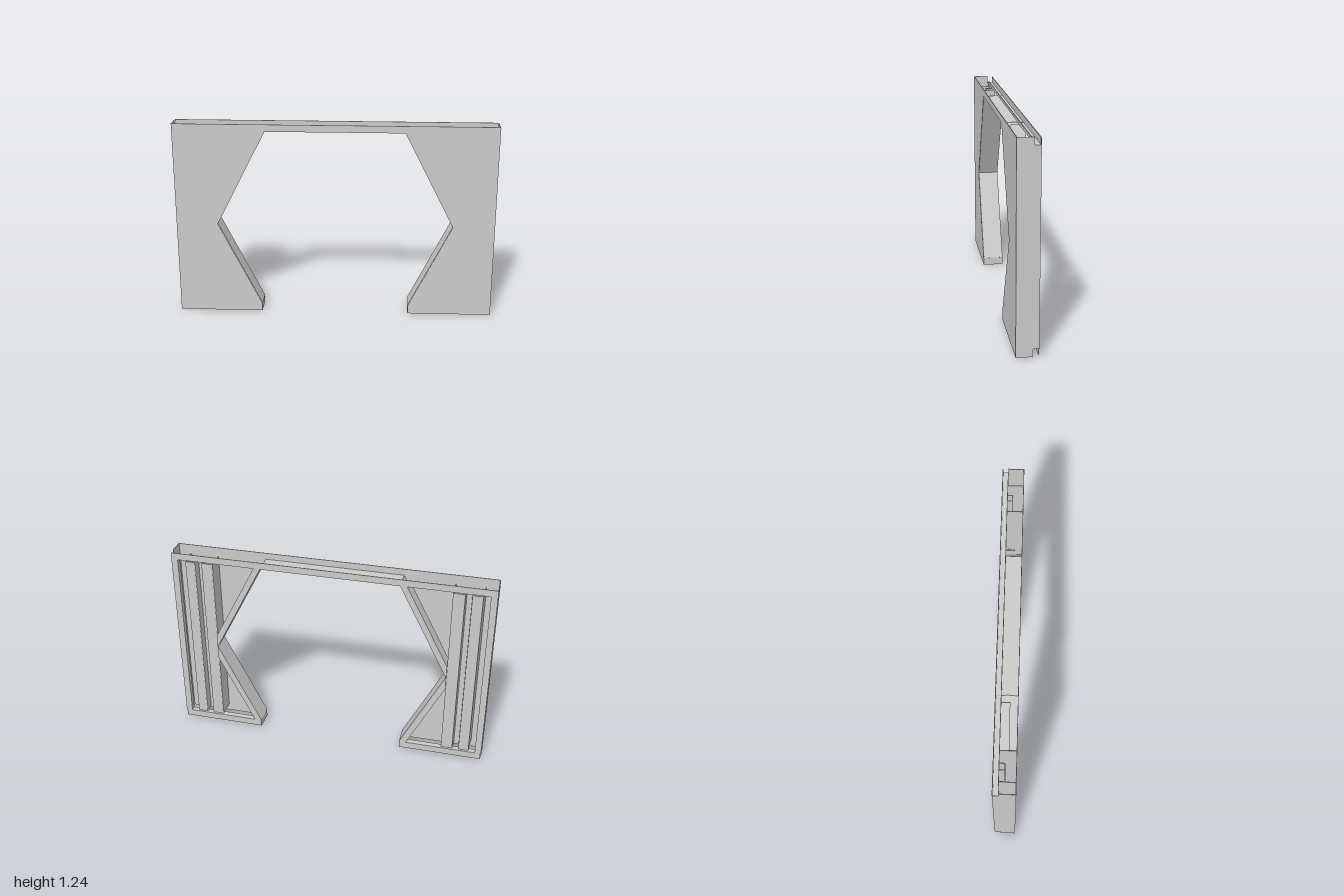
import * as THREE from 'three';

const T = 0.004; // sheet thickness
const FRONT = 0.066, BACK = -0.066, STEP = -0.03, TOP = 1.24, WEB = 1.197;

export function createModel() {
  const root = new THREE.Group();
  const mat = new THREE.MeshStandardMaterial({ color: 0xcccccc, flatShading: true, side: THREE.DoubleSide });

  const add = (name, geo, parent = root) => {
    const mesh = new THREE.Mesh(geo, mat);
    mesh.name = name;
    parent.add(mesh);
    return mesh;
  };

  // axis-aligned sheet given by its limits
  const slab = (name, x0, x1, y0, y1, z0, z1, parent) => {
    const g = new THREE.BoxGeometry(Math.abs(x1 - x0), y1 - y0, z1 - z0);
    add(name, g.translate((x0 + x1) / 2, (y0 + y1) / 2, (z0 + z1) / 2), parent);
  };

  // sheet standing on the line a-b in the xy plane, running from z0 to z1
  const wall = (name, a, b, z0, z1, parent) => {
    const dx = b[0] - a[0], dy = b[1] - a[1];
    const g = new THREE.BoxGeometry(Math.hypot(dx, dy), T, z1 - z0);
    g.rotateZ(Math.atan2(dy, dx));
    add(name, g.translate((a[0] + b[0]) / 2, (a[1] + b[1]) / 2, (z0 + z1) / 2), parent);
  };

  // flat outline in the xy plane with its lower face at z
  const plate = (name, pts, z, parent) => {
    const shape = new THREE.Shape(pts.map(p => new THREE.Vector2(...p)));
    const g = new THREE.ExtrudeGeometry(shape, { depth: T, bevelEnabled: false });
    add(name, g.translate(0, 0, z), parent);
  };

  // front skin with the angular opening
  const half = [[0.43, WEB], [0.74, 0.595], [0.47, 0.05], [0.47, 0], [1, 0], [1, TOP]];
  plate('frontPanel', [...half, ...half.map(([x, y]) => [-x, y]).reverse()], FRONT - T);

  // header: opening soffit and rear U channel
  slab('openingSoffit', -0.43, 0.43, WEB - T / 2, WEB + T / 2, STEP, FRONT - T);
  slab('headerChannelFloor', -1, 1, 1.193, 1.197, BACK, STEP);
  slab('headerChannelBack', -1, 1, 1.193, 1.236, BACK, BACK + T);
  slab('headerChannelLip', -0.94, 0.94, 1.193, 1.215, STEP - T, STEP);

  for (const s of [1, -1]) {
    const side = new THREE.Group();
    side.name = s > 0 ? 'leftLeg' : 'rightLeg';
    root.add(side);
    const m = pts => pts.map(([x, y]) => [x * s, y]);

    // outer side wall, notched behind at head and foot, with a return flange
    slab('sideWall', s, s * (1 - T), 0, TOP, STEP, FRONT - T, side);
    slab('sideWallRear', s, s * (1 - T), 0.05, 1.195, BACK, STEP, side);
    slab('sideFlange', s, s * 0.96, 0.05, 1.195, BACK, BACK + T, side);
    slab('sideLip', s * 0.96, s * (0.96 + T), 0.05, 1.195, BACK, STEP, side);

    // sloping jambs of the opening, folded into C channels
    const [a, b, c, d] = m(half);
    wall('upperJamb', a, b, BACK, FRONT - T, side);
    wall('lowerJamb', b, c, BACK, FRONT - T, side);
    const up = m([[0.43, 1.193], [0.47, 1.193], [0.74, 0.672], [0.74, 0.595]]);
    const low = m([[0.74, 0.595], [0.74, 0.514], [0.51, 0.05], [0.47, 0.05]]);
    plate('upperJambFlange', up, BACK, side);
    plate('lowerJambFlange', low, BACK, side);
    wall('upperJambLip', up[1], up[2], BACK, 0.02, side);
    wall('lowerJambLip', low[1], low[2], BACK, 0.02, side);

    // foot: toe plate with a rounded rear corner, and rear channel
    const toe = new THREE.Shape();
    toe.moveTo(-FRONT + T, 0);
    toe.lineTo(0.056, 0);
    toe.quadraticCurveTo(-BACK, 0, -BACK, 0.01);
    toe.lineTo(-BACK, 0.05);
    toe.lineTo(-FRONT + T, 0.05);
    const toeGeo = new THREE.ExtrudeGeometry(toe, { depth: T, bevelEnabled: false, curveSegments: 5 });
    toeGeo.rotateY(Math.PI / 2);
    add('toePlate', toeGeo.translate(s * 0.472 - T / 2, 0, 0), side);
    slab('footChannelTop', s * 0.47, s * 0.996, 0.046, 0.05, BACK, STEP, side);
    slab('footChannelBack', s * 0.47, s * 0.996, 0.006, 0.05, BACK, BACK + T, side);
    slab('footChannelLip', s * 0.51, s * 0.96, 0.028, 0.05, STEP - T, STEP, side);

    // vertical corrugated stiffener: folded profile in x, z
    const fold = [[0.742, 0.062], [0.742, -0.05], [0.81, -0.05], [0.815, 0], [0.85, 0],
      [0.855, -0.05], [0.915, -0.05], [0.92, 0.062]];
    for (let i = 0; i + 1 < fold.length; i++) {
      const [x0, z0] = fold[i], [x1, z1] = fold[i + 1];
      const dx = s * (x1 - x0), dz = z1 - z0;
      const g = new THREE.BoxGeometry(Math.hypot(dx, dz), 1.13, T);
      g.rotateY(-Math.atan2(dz, dx));
      add('stiffenerFold', g.translate(s * (x0 + x1) / 2, 0.615, (z0 + z1) / 2), side);
    }
  }
  return root;
}
